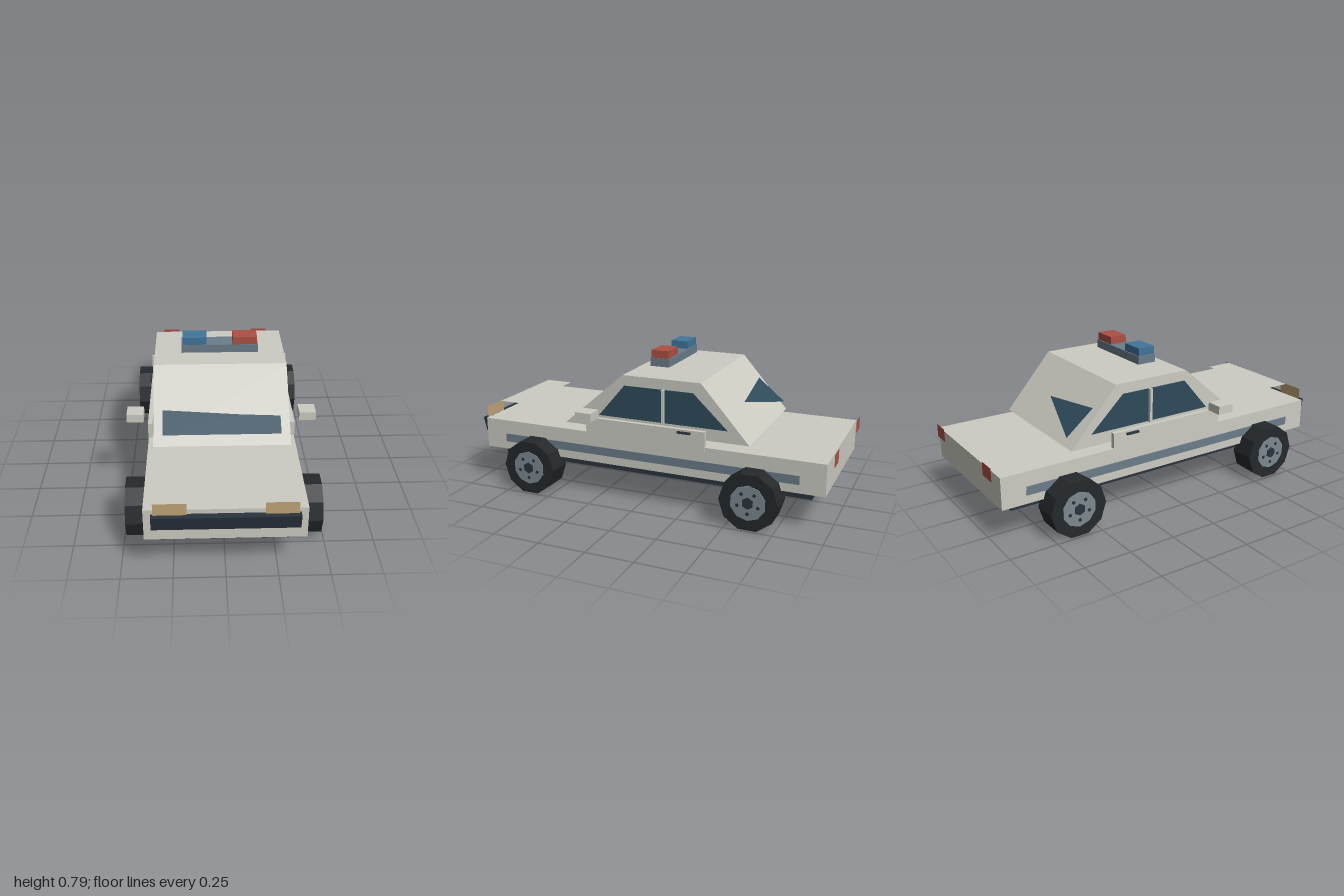
import * as THREE from 'three';

const mat = (color) => new THREE.MeshStandardMaterial({ color, flatShading: true, side: THREE.DoubleSide });
const paint = mat(0xccccc3), dark = mat(0x2a343e), glass = mat(0x2e4b5b), stripe = mat(0x6b7d8a);
const tyreMat = mat(0x25292c), rimMat = mat(0x7c8a8f), amber = mat(0xc0a678), red = mat(0xae5044), blue = mat(0x41759a);

export function createModel() {
  const car = new THREE.Group();
  car.name = 'patrolCar';

  const add = (name, geo, material, parent = car) => {
    const mesh = new THREE.Mesh(geo, material);
    mesh.name = name;
    parent.add(mesh);
    return mesh;
  };

  // Box given by its limits on each axis
  const box = (name, material, [x0, x1], [y0, y1], [z0, z1]) =>
    add(name, new THREE.BoxGeometry(x1 - x0, y1 - y0, z1 - z0), material)
      .position.set((x0 + x1) / 2, (y0 + y1) / 2, (z0 + z1) / 2);

  // Side profile of [z, y] points, extruded across x and centred on the given x
  const across = (name, material, points, width, x = 0) => {
    const shape = new THREE.Shape(points.map(([z, y]) => new THREE.Vector2(z, y)));
    const geo = new THREE.ExtrudeGeometry(shape, { depth: width, bevelEnabled: false });
    geo.rotateY(-Math.PI / 2).translate(x + width / 2, 0, 0);
    return add(name, geo, material);
  };

  // Flat convex panel from its corners
  const panel = (name, material, corners) => {
    const geo = new THREE.BufferGeometry();
    geo.setAttribute('position', new THREE.Float32BufferAttribute(corners.flat(), 3));
    const index = [];
    for (let i = 1; i < corners.length - 1; i++) index.push(0, i, i + 1);
    geo.setIndex(index);
    geo.computeVertexNormals();
    return add(name, geo, material);
  };

  // Lower body, underside and cabin
  box('body', paint, [-0.382, 0.382], [0.2, 0.367], [-0.975, 0.95]);
  box('chassis', dark, [-0.305, 0.305], [0.143, 0.2], [-0.895, 0.88]);
  across('cabin', paint, [[0.455, 0.395], [0.11, 0.69], [-0.32, 0.69], [-0.58, 0.395]], 0.704);

  // Bonnet panel just above the hood
  panel('bonnetPanel', paint, [[-0.26, 0.435, 0.935], [0.26, 0.435, 0.935], [0.26, 0.435, 0.775], [-0.26, 0.435, 0.775]]);

  // Windscreen and rear window, emerging from the sloped faces
  panel('windscreen', glass, [
    [-0.305, 0.44, 0.418], [0.305, 0.44, 0.418], [0.305, 0.5, 0.336], [0.1, 0.506, 0.329], [-0.305, 0.525, 0.307],
  ]);
  panel('rearWindow', glass, [[0.075, 0.535, -0.462], [-0.305, 0.45, -0.58], [-0.305, 0.575, -0.428]]);

  // Wedge grille ahead of the nose
  across('grille', dark, [[0.965, 0.355], [1.0, 0.355], [0.982, 0.278]], 0.69);

  // Roof light bar
  box('lightBarBase', stripe, [-0.205, 0.205], [0.715, 0.759], [-0.088, 0.018]);
  box('blueBeacon', blue, [-0.2, -0.07], [0.759, 0.8], [-0.082, 0.014]);
  box('redBeacon', red, [0.07, 0.2], [0.759, 0.8], [-0.082, 0.014]);

  for (const s of [-1, 1]) {
    const side = s > 0 ? 'left' : 'right';
    const span = (a, b) => (s > 0 ? [a, b] : [-b, -a]);

    // Doors, side glass, trim and mirrors
    box(side + 'DoorPanel', paint, span(0.36, 0.384), [0.34, 0.448], [-0.355, 0.315]);
    across(side + 'SideWindow', glass, [[0.25, 0.46], [0.1, 0.635], [-0.28, 0.635], [-0.465, 0.46]], 0.006, s * 0.354);
    box(side + 'DoorPillar', paint, span(0.35, 0.372), [0.455, 0.636], [-0.128, -0.113]);
    box(side + 'DoorHandle', dark, span(0.384, 0.395), [0.427, 0.438], [-0.28, -0.21]);
    box(side + 'Stripe', stripe, span(0.38, 0.386), [0.245, 0.29], [-0.845, 0.825]);
    box(side + 'Mirror', paint, span(0.405, 0.492), [0.46, 0.505], [0.228, 0.318]);

    // Flat lamps at the nose and tail
    const lamp = (name, material, x0, x1, y0, y1, z) => panel(name, material,
      [[s * x0, y0, z], [s * x1, y0, z], [s * x1, y1, z], [s * x0, y1, z]]);
    lamp(side + 'Headlight', amber, 0.18, 0.335, 0.348, 0.418, 0.975);
    lamp(side + 'TailLight', red, 0.24, 0.34, 0.336, 0.406, -1.0);

    // Wheels: ten-sided tyre with rim, hub and bolts on both faces
    for (const z of [0.62, -0.62]) {
      const wheel = new THREE.Group();
      wheel.name = side + (z > 0 ? 'FrontWheel' : 'RearWheel');
      wheel.position.set(s * 0.418, 0.152, z);
      car.add(wheel);
      const disc = (name, material, r, width, sides, y = 0, dz = 0) => {
        const geo = new THREE.CylinderGeometry(r, r, width, sides);
        geo.rotateZ(Math.PI / 2).rotateX(Math.PI / 10 * 5).translate(0, y, dz);
        return add(name, geo, material, wheel);
      };
      disc('tyre', tyreMat, 0.152, 0.134, 10).rotation.x = Math.PI / 2;
      disc('rim', rimMat, 0.092, 0.142, 10);
      disc('hub', dark, 0.031, 0.15, 6);
      for (let i = 0; i < 5; i++) {
        const a = (i / 5) * Math.PI * 2 + Math.PI / 5;
        disc('bolt', dark, 0.01, 0.148, 5, Math.cos(a) * 0.056, Math.sin(a) * 0.056);
      }
    }
  }

  return car;
}
